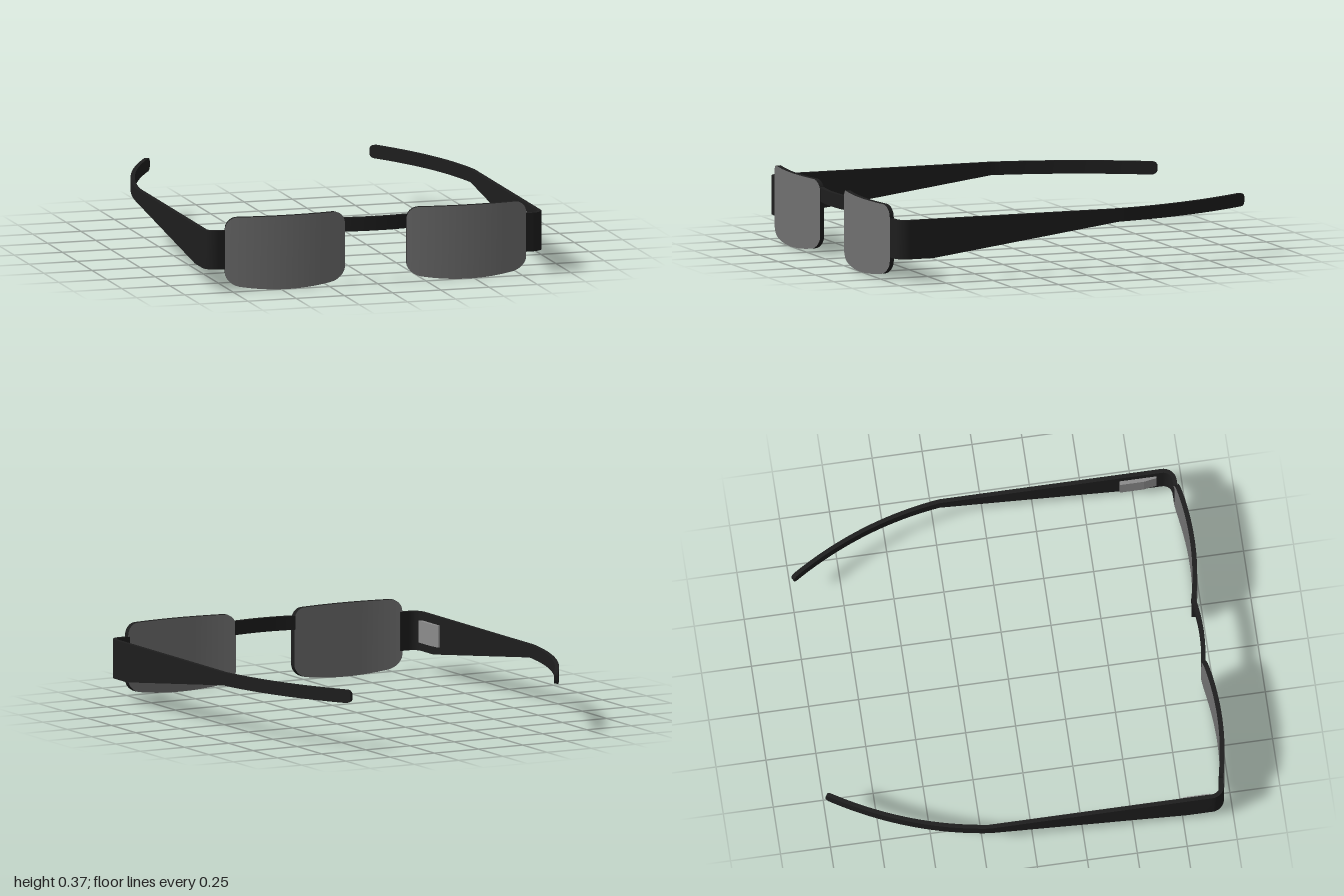
import * as THREE from 'three';
import { mergeGeometries } from 'three/addons/utils/BufferGeometryUtils.js';

const frameMat = new THREE.MeshStandardMaterial({ color: 0x1e1e1e });
const lensMat = new THREE.MeshStandardMaterial({ color: 0x707070 });
const plateMat = new THREE.MeshStandardMaterial({ color: 0x8c8c8c });

// Smooth strip of quads between two rows of corners
function strip(p, q) {
  const pos = [], index = [];
  p.forEach((a, i) => {
    pos.push(...a, ...q[i]);
    if (i) {
      const k = 2 * i;
      index.push(k - 2, k, k + 1, k - 2, k + 1, k - 1);
    }
  });
  const g = new THREE.BufferGeometry();
  g.setAttribute('position', new THREE.Float32BufferAttribute(pos, 3));
  g.setIndex(index);
  g.computeVertexNormals();
  return g;
}

// Upright band along a plan path of [x, z, bottom, top] stations; returns its faces and its edges
function band(stations, thickness) {
  const rows = [[], [], [], []];
  const last = stations.length - 1;
  stations.forEach(([x, z, lo, hi], i) => {
    const a = stations[Math.max(i - 1, 0)], b = stations[Math.min(i + 1, last)];
    const dx = b[0] - a[0], dz = b[1] - a[1];
    const s = thickness / 2 / Math.hypot(dx, dz);
    const nx = -dz * s, nz = dx * s;
    rows[0].push([x + nx, lo, z + nz]);
    rows[1].push([x + nx, hi, z + nz]);
    rows[2].push([x - nx, hi, z - nz]);
    rows[3].push([x - nx, lo, z - nz]);
  });
  const [aLo, aHi, bHi, bLo] = rows;
  return {
    faces: mergeGeometries([strip(aLo, aHi), strip(bHi, bLo)]),
    edges: mergeGeometries([
      strip(aHi, bHi), strip(bLo, aLo),
      strip([bLo[0], aLo[0]], [bHi[0], aHi[0]]),
      strip([aLo[last], bLo[last]], [aHi[last], bHi[last]]),
    ]),
  };
}

const mirror = (stations) => stations.map(([x, ...r]) => [-x, ...r]).reverse();

// How far a rounded corner pulls an edge in, at distance d from the end
const corner = (d, r) => (d >= r ? 0 : r - Math.sqrt(Math.max(0, r * r - (r - d) ** 2)));

// Bowed lens with rounded corners and a gently curved lower edge
function lensStations() {
  const cx = 0.47, half = 0.308, n = 48, out = [];
  for (let i = 0; i <= n; i++) {
    const u = -Math.cos((Math.PI * i) / n);
    const d = half * (1 - Math.abs(u));
    const lo = 0.034 * u * u + 0.75 * corner(d, 0.075);
    out.push([cx + half * u, 0.988 - 0.036 * u * u, lo, 0.37 - corner(d, 0.06)]);
  }
  return out;
}

// Temple arm: end piece, rounded corner, tapering straight, then inward-curving tip
function templeStations() {
  const top = 0.305, out = [[0.765, 0.951, 0.11, top]];
  for (let i = 0; i <= 10; i++) {
    const a = (Math.PI / 2) * (1 - i / 10);
    out.push([0.812 + 0.055 * Math.cos(a), 0.895 + 0.055 * Math.sin(a), 0.11, top]);
  }
  out.push([0.867, 0.77, 0.11, top]);
  const curve = new THREE.QuadraticBezierCurve(
    new THREE.Vector2(0.867, -0.22), new THREE.Vector2(0.815, -0.63), new THREE.Vector2(0.578, -0.995));
  for (let i = 0; i <= 32; i++) {
    const p = curve.getPoint(Math.sin((Math.PI / 2) * (i / 32)));
    const c = corner(p.y + 0.995, 0.022);
    out.push([p.x, p.y, 0.24 + c, top - c]);
  }
  return out;
}

function bridgeStations() {
  const out = [];
  for (let i = 0; i <= 16; i++) {
    const u = i / 8 - 1;
    out.push([0.172 * u, 0.967 - 0.017 * u * u, 0.265, 0.335]);
  }
  return out;
}

// Small plate on the inside of a temple, chamfered at one end
function plateGeometry() {
  const s = new THREE.Shape([[0.86, -0.68], [0.86, -0.865], [0.847, -0.865], [0.837, -0.8], [0.837, -0.68]]
    .map(([x, y]) => new THREE.Vector2(x, y)));
  const g = new THREE.ExtrudeGeometry(s, { depth: 0.11, bevelEnabled: false });
  return g.rotateX(-Math.PI / 2).translate(0, 0.155, 0);
}

export function createModel() {
  const model = new THREE.Group();
  model.name = 'glasses';
  const add = (parent, name, geometry, material) => {
    const m = new THREE.Mesh(geometry, material);
    m.name = name;
    parent.add(m);
    return m;
  };
  const addSolid = (name, stations) => {
    const b = band(stations, 0.021);
    add(model, name, mergeGeometries([b.faces, b.edges]), frameMat);
  };

  addSolid('bridge', bridgeStations());

  for (const side of ['left', 'right']) {
    const place = side === 'left' ? (s) => s : mirror;
    const lens = new THREE.Group();
    lens.name = side + 'Lens';
    const b = band(place(lensStations()), 0.024);
    add(lens, side + 'LensGlass', b.faces, lensMat);
    add(lens, side + 'LensRim', b.edges, frameMat);
    model.add(lens);
    addSolid(side + 'Temple', place(templeStations()));
  }

  // The right plate is the left one turned half round
  add(model, 'leftHingePlate', plateGeometry(), plateMat);
  const plate = add(model, 'rightHingePlate', plateGeometry(), plateMat);
  plate.rotation.y = Math.PI;
  plate.position.z = 1.565;
  return model;
}
